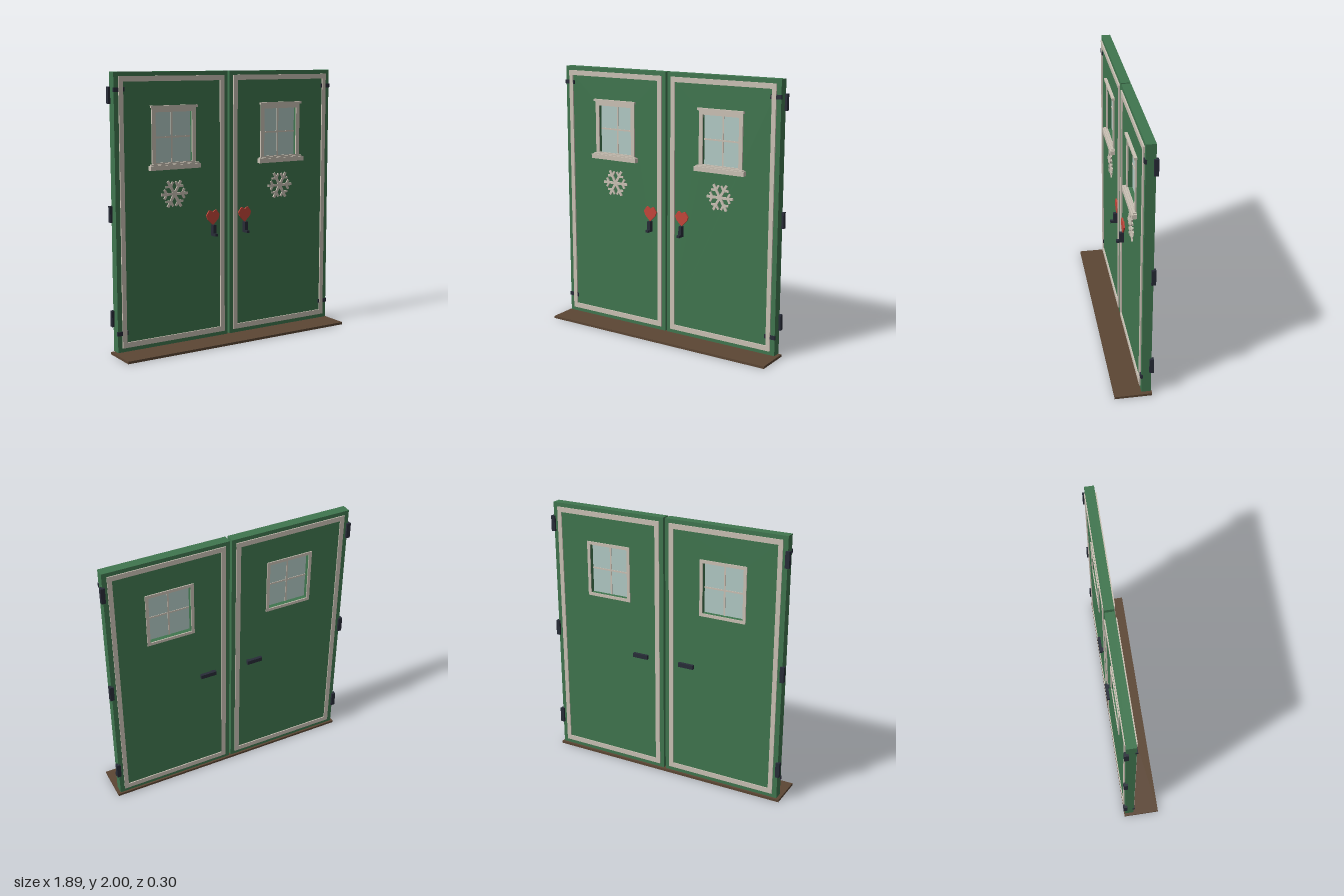
import * as THREE from 'three';

const mat = (name, color) => {
  const m = new THREE.MeshStandardMaterial({ color });
  m.name = name;
  return m;
};

export function createModel() {
  const green = mat('green paint', 0x40764f);
  const cream = mat('cream trim', 0xcbc2b5);
  const glass = mat('pale glass', 0xb2cac5);
  const iron = mat('dark iron', 0x282c38);
  const red = mat('red', 0xc4463a);
  const brown = mat('brown wood', 0x5c4634);
  const root = new THREE.Group();
  root.name = 'doubleDoor';

  const add = (parent, name, geo, material) => {
    const m = new THREE.Mesh(geo, material);
    m.name = name;
    parent.add(m);
    return m;
  };
  // box given by its limits on each axis
  const box = (parent, name, material, x0, x1, y0, y1, z0, z1) => {
    const m = add(parent, name, new THREE.BoxGeometry(x1 - x0, y1 - y0, z1 - z0), material);
    m.position.set((x0 + x1) / 2, (y0 + y1) / 2, (z0 + z1) / 2);
    return m;
  };
  const rect = (T, [x0, x1, y0, y1]) => {
    const p = new T();
    p.moveTo(x0, y0);
    p.lineTo(x1, y0);
    p.lineTo(x1, y1);
    p.lineTo(x0, y1);
    p.closePath();
    return p;
  };
  const extrude = (shape, z0, z1) =>
    new THREE.ExtrudeGeometry(shape, { depth: z1 - z0, bevelEnabled: false }).translate(0, 0, z0);
  // rectangular slab with a rectangular hole
  const frame = (parent, name, material, outer, inner, z0, z1) => {
    const s = rect(THREE.Shape, outer);
    s.holes.push(rect(THREE.Path, inner));
    return add(parent, name, extrude(s, z0, z1), material);
  };

  const ZB = -0.115, ZF = -0.047;          // door back and front
  const TB = -0.122, TF = -0.037;          // trim back and front

  box(root, 'threshold', brown, -0.945, 0.945, 0, 0.018, TB, 0.148);

  for (const s of [1, -1]) {
    const leaf = new THREE.Group();
    leaf.name = s > 0 ? 'leftDoor' : 'rightDoor';
    root.add(leaf);
    const X = (a, b) => (s > 0 ? [a, b] : [-b, -a]);   // mirrored x range
    const cx = 0.461 * s;

    // panel with a window opening
    const opening = [cx - 0.155, cx + 0.155, 1.352, 1.722];
    frame(leaf, 'doorPanel', green, [...X(0.008, 0.925), 0.025, 2], opening, ZB, ZF);

    // border trim on both faces
    const outer = [...X(0.04, 0.89), 0.055, 1.97], inner = [...X(0.075, 0.857), 0.093, 1.933];
    frame(leaf, 'frontBorder', cream, outer, inner, ZF, TF);
    frame(leaf, 'backBorder', cream, outer, inner, TB, ZB);

    // window
    const win = new THREE.Group();
    win.name = 'window';
    leaf.add(win);
    const sight = [cx - 0.148, cx + 0.148, 1.36, 1.717];
    const casing = [cx - 0.178, cx + 0.178, 1.325, 1.75];
    frame(win, 'frontCasing', cream, casing, sight, ZF, TF);
    frame(win, 'backCasing', cream, [cx - 0.178, cx + 0.178, 1.33, 1.745], opening, TB, ZB);
    box(win, 'headCap', cream, cx - 0.188, cx + 0.188, 1.747, 1.764, ZF, -0.026);
    box(win, 'sillTop', cream, cx - 0.192, cx + 0.192, 1.333, 1.352, ZF, -0.022);
    box(win, 'sill', cream, cx - 0.204, cx + 0.204, 1.31, 1.343, ZF, -0.012);
    box(win, 'pane', glass, opening[0], opening[1], opening[2], opening[3], -0.084, -0.078);
    box(win, 'mullion', cream, cx - 0.006, cx + 0.006, 1.352, 1.722, -0.088, -0.074);
    box(win, 'glazingBar', cream, cx - 0.155, cx + 0.155, 1.531, 1.543, -0.0875, -0.0745);

    // six-armed snowflake
    const flake = new THREE.Group();
    flake.name = 'snowflake';
    flake.position.set(cx, 1.13, 0);
    leaf.add(flake);
    for (let i = 0; i < 6; i++) {
      const arm = new THREE.Group();
      arm.name = 'snowflakeArm';
      arm.rotation.z = (i * Math.PI) / 3;
      flake.add(arm);
      box(arm, 'armBar', cream, 0, 0.108, -0.0095, 0.0095, ZF, TF - i * 0.0001);
      for (const k of [1, -1]) {
        const twig = add(arm, 'twig', new THREE.BoxGeometry(0.04, 0.016, 0.009).translate(0.02, 0, 0), cream);
        twig.position.set(0.062, 0, ZF + 0.0045);
        twig.rotation.z = (k * Math.PI) / 3;
      }
    }

    // heart plate
    const heart = new THREE.Shape([
      [0, -0.06], [0.045, -0.015], [0.056, 0.016], [0.042, 0.036], [0.03, 0.052],
      [0.016, 0.05], [0, 0.036], [-0.016, 0.05], [-0.03, 0.052], [-0.042, 0.036],
      [-0.056, 0.016], [-0.045, -0.015],
    ].map(([x, y]) => new THREE.Vector2(x, y)));
    add(leaf, 'heartPlate', extrude(heart, ZF, -0.036), red).position.set(0.14 * s, 0.934, 0);

    // front pull and back handle
    box(leaf, 'frontPull', iron, ...X(0.127, 0.151), 0.795, 0.877, ZF, -0.014);
    box(leaf, 'pullFoot', iron, ...X(0.128, 0.15), 0.795, 0.814, -0.014, 0.008);
    box(leaf, 'handleStem', iron, ...X(0.135, 0.16), 0.92, 0.94, -0.128, ZB);
    box(leaf, 'backHandle', iron, ...X(0.128, 0.248), 0.915, 0.946, -0.148, -0.126);

    // hinges on the outer back edge, straps on the front
    for (const y of [0.262, 1.013, 1.84])
      box(leaf, 'hinge', iron, ...X(0.912, 0.942), y - 0.058, y + 0.058, -0.13, -0.1);
    for (const y of [0.163, 1.88])
      box(leaf, 'strap', iron, ...X(0.845, 0.928), y - 0.015, y + 0.015, -0.056, -0.039);
  }
  return root;
}
